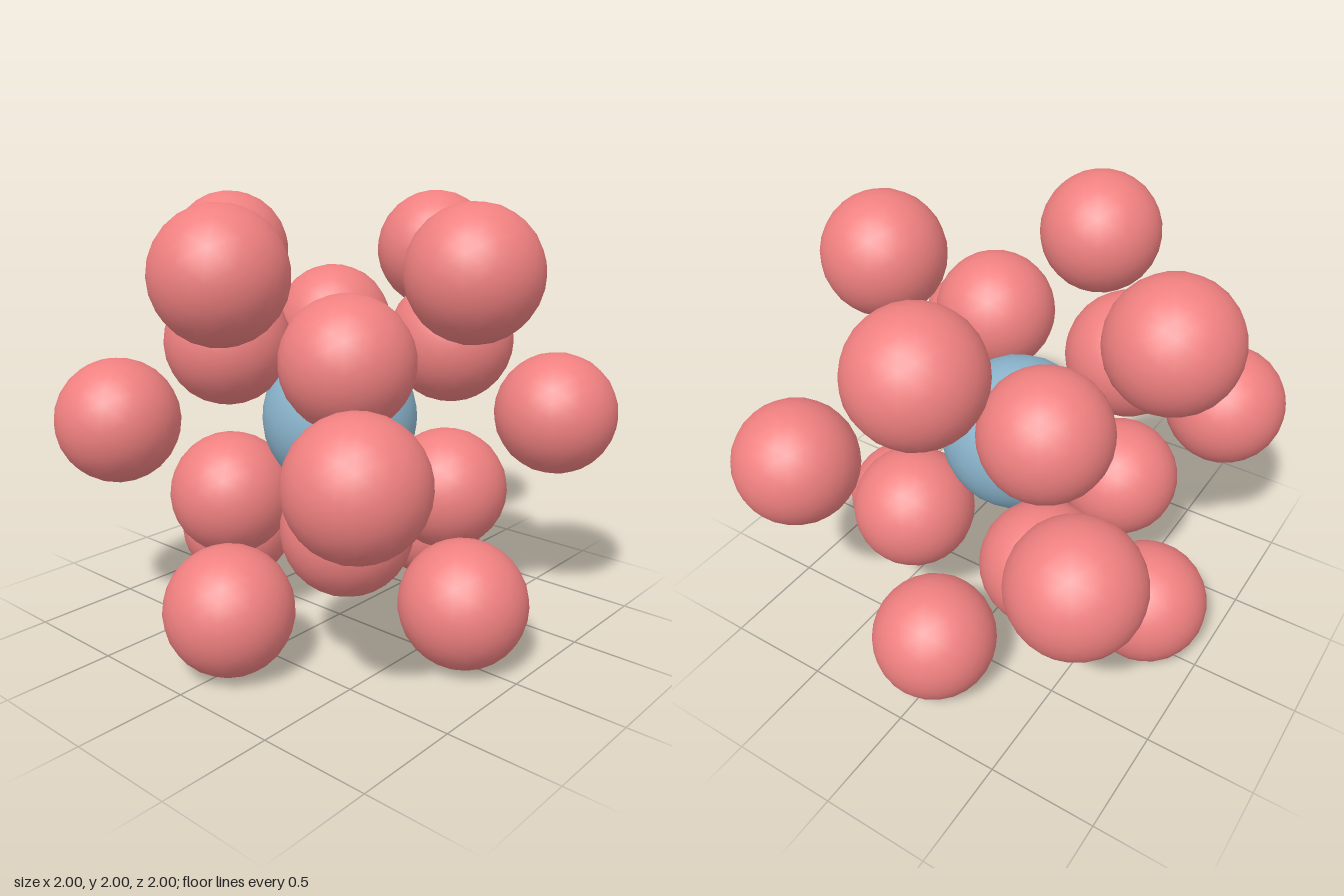
import * as THREE from 'three';

export function createModel() {
  const model = new THREE.Group();
  const red = new THREE.MeshStandardMaterial({ color: 0xf08080 });
  const blue = new THREE.MeshStandardMaterial({ color: 0x8ab4cc });
  const smallBall = new THREE.IcosahedronGeometry(0.285, 4);
  const largeBall = new THREE.IcosahedronGeometry(0.357, 4);
  const OUTER = 0.715, INNER = 0.357, signs = [-1, 1];

  // The lattice is centred one unit above the ground
  function addBall(name, geometry, material, x, y, z) {
    const ball = new THREE.Mesh(geometry, material);
    ball.name = name;
    ball.position.set(x, y + 1, z);
    model.add(ball);
  }

  // Large central sphere
  addBall('centreSphere', largeBall, blue, 0, 0, 0);

  for (const a of signs) for (const b of signs) {
    // Outer spheres at the midpoints of a cube's twelve edges
    const p = a * OUTER, q = b * OUTER;
    addBall('edgeSphere', smallBall, red, p, q, 0);
    addBall('edgeSphere', smallBall, red, p, 0, q);
    addBall('edgeSphere', smallBall, red, 0, p, q);

    // Inner spheres at the eight corners of a cube half as large
    for (const c of signs) {
      addBall('innerSphere', smallBall, red, a * INNER, b * INNER, c * INNER);
    }
  }
  return model;
}
